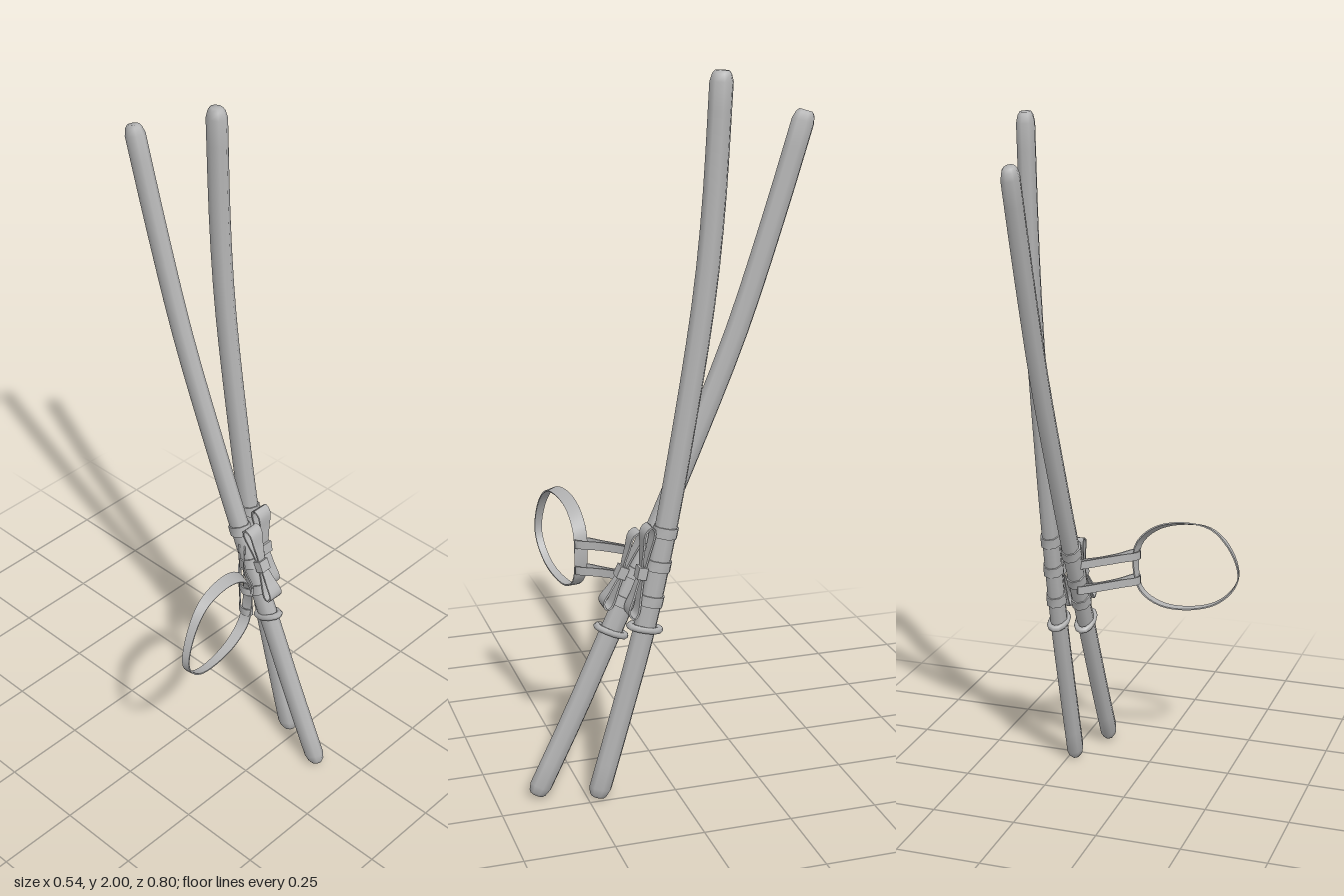
import * as THREE from 'three';
import { toCreasedNormals } from 'three/addons/utils/BufferGeometryUtils.js';

const V = (x, y, z) => new THREE.Vector3(x, y, z);
const X = V(1, 0, 0);
const grey = new THREE.MeshStandardMaterial({ name: 'grey', color: 0xb4b4b4 });

function mesh(name, geometry) {
  const m = new THREE.Mesh(geometry, grey);
  m.name = name;
  return m;
}

// Sweeps a section of [across, outward] pairs along a curve; open sweeps get end caps.
function sweep(curve, across, section, us, closed) {
  const rings = us.map(u => {
    const p = curve.getPointAt(u), n = curve.getTangentAt(u).cross(across).normalize();
    return section(u).map(([a, b]) => p.clone().addScaledVector(across, a).addScaledVector(n, b));
  });
  const pos = [], tri = (...ps) => ps.forEach(p => pos.push(p.x, p.y, p.z));
  const count = rings[0].length, last = rings.length - 1;
  for (let i = 0; i < (closed ? rings.length : last); i++) {
    const r = rings[i], s = rings[(i + 1) % rings.length];
    for (let j = 0; j < count; j++) {
      const k = (j + 1) % count;
      tri(r[j], r[k], s[k]);
      tri(r[j], s[k], s[j]);
    }
  }
  if (!closed) {
    const a = curve.getPointAt(us[0]), b = curve.getPointAt(us[last]);
    for (let j = 0; j < count; j++) {
      const k = (j + 1) % count;
      tri(a, rings[0][k], rings[0][j]);
      tri(b, rings[last][j], rings[last][k]);
    }
  }
  const g = new THREE.BufferGeometry();
  g.setAttribute('position', new THREE.Float32BufferAttribute(pos, 3));
  return toCreasedNormals(g, 1.15);
}

// Closed flat band whose width and twist may vary along its length
function ribbonLoop(name, points, across, width, thick, steps, twist = () => 0) {
  const curve = new THREE.CatmullRomCurve3(points, true);
  const section = u => {
    const w = width(u) / 2, t = thick / 2, c = Math.cos(twist(u)), s = Math.sin(twist(u));
    return [[w, -t], [w, t], [-w, t], [-w, -t]].map(([a, b]) => [a * c - b * s, a * s + b * c]);
  };
  const us = Array.from({ length: steps }, (_, i) => i / steps);
  return mesh(name, sweep(curve, across, section, us, true));
}

// Local frame on a rod at height y: x across, y along the rod, z outward to the front
function frameAt(curve, y) {
  let best = 0;
  for (let i = 0; i <= 400; i++) {
    if (Math.abs(curve.getPointAt(i / 400).y - y) < Math.abs(curve.getPointAt(best).y - y)) best = i / 400;
  }
  const d = curve.getTangentAt(best), g = new THREE.Group();
  g.quaternion.setFromRotationMatrix(new THREE.Matrix4().makeBasis(X, d, X.clone().cross(d)));
  g.position.copy(curve.getPointAt(best));
  return g;
}

function sheath(name, x, zy, o) {
  const group = new THREE.Group();
  group.name = name;
  const curve = new THREE.CatmullRomCurve3(zy.map(([z, y]) => V(x, y, z)));

  // Curved oval rod with domed ends
  const section = u => {
    const s = Math.min(1, 0.6 + 0.4 * Math.sqrt(Math.min(u, 1 - u) / 0.014));
    return Array.from({ length: 8 }, (_, j) => {
      const a = j * Math.PI / 4;
      return [Math.cos(a) * 0.025 * s, Math.sin(a) * 0.033 * s];
    });
  };
  const us = [0, 0.004, 0.014, ...Array.from({ length: 19 }, (_, i) => (i + 1) / 20), 0.986, 0.996, 1];
  group.add(mesh('rod', sweep(curve, X, section, us, false)));

  // Guard ring
  const guard = frameAt(curve, o.guard);
  guard.name = 'guard';
  const ring = mesh('guardRing', new THREE.TorusGeometry(0.03, 0.008, 6, 12).rotateX(Math.PI / 2));
  ring.scale.set(0.86, 1.2, 1.45);
  guard.add(ring);
  group.add(guard);

  // Cord wraps
  for (const y of o.wraps) {
    const f = frameAt(curve, y);
    f.name = 'cordWrap';
    const band = mesh('wrapBand', toCreasedNormals(new THREE.CylinderGeometry(1, 1, 0.03, 8), 1.15));
    band.scale.set(0.03, 1, 0.037);
    f.add(band);
    group.add(f);
  }

  // Bow of two flat loops, narrow at the knot and wide at the tips
  const bow = frameAt(curve, o.knot);
  bow.name = 'bow';
  for (const [dir, len] of [[1, o.up], [-1, o.down]]) {
    const side = [[0, 0.042], [0.5, 0.037], [0.9, 0.037], [1, 0.046], [0.88, 0.062], [0.5, 0.056], [0.15, 0.049]];
    bow.add(ribbonLoop('bowLoop', side.map(([d, z]) => V(0, d * len * dir, z)), X,
      u => 0.024 + 0.026 * Math.sin(Math.PI * u) ** 2, 0.005, 24));
  }
  const knot = mesh('knot', new THREE.BoxGeometry(0.034, 0.034, 0.026));
  knot.position.z = 0.045;
  bow.add(knot);
  group.add(bow);
  return group;
}

export function createModel() {
  const model = new THREE.Group();
  model.name = 'pairedSheaths';

  model.add(sheath('longSheath', 0.23,
    [[0.222, 0.008], [0.153, 0.25], [0.085, 0.5], [0.025, 0.78], [-0.015, 1], [-0.078, 1.4], [-0.103, 1.65], [-0.122, 2]],
    { guard: 0.5, wraps: [0.58, 0.68, 0.775], knot: 0.655, up: 0.135, down: 0.13 }));
  model.add(sheath('shortSheath', 0.175,
    [[0.384, 0.012], [0.274, 0.24], [0.165, 0.48], [0.062, 0.7], [-0.06, 0.98], [-0.19, 1.3], [-0.29, 1.6], [-0.377, 1.885]],
    { guard: 0.48, wraps: [0.56, 0.64, 0.735], knot: 0.63, up: 0.125, down: 0.11 }));

  // Belt loop, bent slightly and twisted where it nears the hangers
  const belt = [[-0.27, 0.64], [-0.245, 0.72], [-0.19, 0.78], [-0.11, 0.794], [-0.03, 0.775], [0.022, 0.725],
    [0.032, 0.65], [0.015, 0.58], [-0.04, 0.54], [-0.12, 0.53], [-0.205, 0.55], [-0.255, 0.595]];
  const beltZ = x => 0.21 - 0.1 * (x - 0.03) + 0.2 * (x - 0.03) ** 2;
  model.add(ribbonLoop('belt', belt.map(([x, y]) => V(x, y, beltZ(x))), V(0.16, 0, 1).normalize(),
    u => 0.03 + 0.008 * Math.cos(2 * Math.PI * (u - 0.45)), 0.004, 48,
    u => 0.5 * Math.max(0, Math.cos(2 * Math.PI * (u - 0.37)))));

  // Two hanger straps looped round the belt and tied to the sheath
  for (const y of [0.69, 0.612]) {
    const path = [[0.16, 0.06], [0.1, 0.115], [0.055, 0.16], [0.026, 0.187], [0.018, 0.21], [0.032, 0.228],
      [0.048, 0.208], [0.068, 0.172], [0.108, 0.122], [0.165, 0.07]];
    model.add(ribbonLoop('hangerStrap', path.map(([x, z]) => V(x, y, z)), V(0, 1, 0), () => 0.024, 0.004, 40));
  }
  return model;
}
